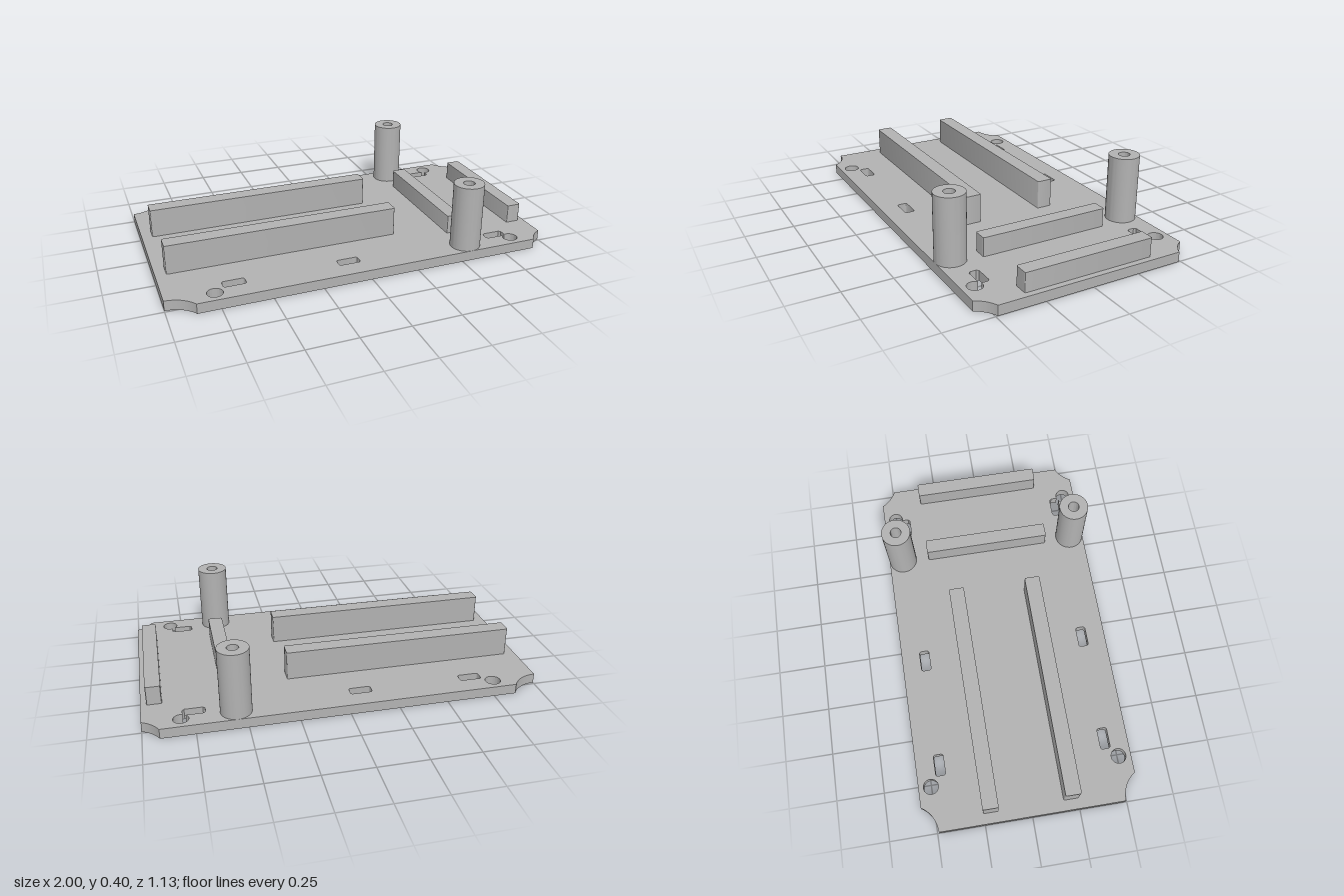
import * as THREE from 'three';
import { toCreasedNormals } from 'three/addons/utils/BufferGeometryUtils.js';

const PLATE_H = 0.052;
const HALF_Z = 0.566;

// Shape drawn in plan, extruded upwards from y0 to y1
function extrudeUp(shape, y0, y1) {
  const g = new THREE.ExtrudeGeometry(shape, { depth: y1 - y0, bevelEnabled: false, curveSegments: 32 });
  g.rotateX(-Math.PI / 2);
  g.translate(0, y0, 0);
  return toCreasedNormals(g, 0.6);
}

// Rounded rectangle between two corners
function roundedRect(path, x0, y0, x1, y1, r) {
  path.moveTo(x0 + r, y0);
  path.absarc(x1 - r, y0 + r, r, -Math.PI / 2, 0, false);
  path.absarc(x1 - r, y1 - r, r, 0, Math.PI / 2, false);
  path.absarc(x0 + r, y1 - r, r, Math.PI / 2, Math.PI, false);
  path.absarc(x0 + r, y0 + r, r, Math.PI, Math.PI * 1.5, false);
  return path;
}

function circle(x, y, r) {
  return new THREE.Path().absarc(x, y, r, 0, Math.PI * 2, false);
}

// Slot that runs into a round screw hole, as one outline
function slotWithHole(side) {
  const x0 = 0.695, x1 = 0.805, y0 = 0.42, y1 = 0.471;
  const cx = 0.815, cy = 0.5, r = 0.038;
  const start = Math.atan2(-Math.sqrt(r * r - (x1 - cx) ** 2), x1 - cx);
  const end = Math.atan2(y1 - cy, -Math.sqrt(r * r - (y1 - cy) ** 2)) + Math.PI * 2;
  const pts = [[x0 + 0.01, y0], [x1 - 0.01, y0], [x1, y0 + 0.01]];
  for (let i = 0; i <= 32; i++) {
    const a = start + (end - start) * i / 32;
    pts.push([cx + r * Math.cos(a), cy + r * Math.sin(a)]);
  }
  pts.push([x0 + 0.01, y1], [x0, y1 - 0.01], [x0, y0 + 0.01]);
  return new THREE.Path(pts.map(([x, y]) => new THREE.Vector2(x, y * side)));
}

// Base plate outline with scooped corners and mounting holes
function plateShape() {
  const s = new THREE.Shape();
  const left = { x: -1, y: 0.649, r: 0.159 };
  const right = { x: 1.062, y: 0.637, r: 0.16 };
  const leftEnd = Math.asin((left.y - HALF_Z) / left.r);
  const rightStart = Math.PI - Math.asin((right.y - HALF_Z) / right.r);
  const rightEnd = Math.PI - Math.acos((right.x - 1) / right.r);
  s.absarc(left.x, -left.y, left.r, Math.PI / 2, leftEnd, true);
  s.absarc(right.x, -right.y, right.r, rightStart, rightEnd, true);
  s.absarc(right.x, right.y, right.r, -rightEnd, -rightStart, true);
  s.absarc(left.x, left.y, left.r, -leftEnd, -Math.PI / 2, true);
  s.closePath();

  for (const side of [-1, 1]) {
    s.holes.push(circle(-0.765, 0.5 * side, 0.039));
    for (const x of [-0.66, -0.078]) {
      const y = 0.441 * side;
      s.holes.push(roundedRect(new THREE.Path(), x - 0.056, y - 0.026, x + 0.056, y + 0.026, 0.012));
    }
    s.holes.push(slotWithHole(side));
  }
  return s;
}

export function createModel() {
  const model = new THREE.Group();
  model.name = 'mountingPlate';
  const grey = new THREE.MeshStandardMaterial({ color: 0xb2b2b2 });
  grey.name = 'grey';

  const add = (name, geometry, x = 0, z = 0) => {
    const mesh = new THREE.Mesh(geometry, grey);
    mesh.name = name;
    mesh.position.set(x, 0, z);
    model.add(mesh);
  };

  add('basePlate', extrudeUp(plateShape(), 0, PLATE_H));

  // Two long ribs and two lower cross ribs
  const rib = (w, d, top) =>
    extrudeUp(roundedRect(new THREE.Shape(), -w / 2, -d / 2, w / 2, d / 2, 0.008), PLATE_H, top);
  const longRib = rib(1.204, 0.082, 0.203);
  const crossRib = rib(0.075, 0.684, 0.15);
  add('longRibFront', longRib, -0.343, 0.211);
  add('longRibBack', longRib, -0.343, -0.211);
  add('crossRibInner', crossRib, 0.564, 0);
  add('crossRibOuter', crossRib, 0.933, 0);

  // Hollow standoff posts
  const ring = new THREE.Shape().absarc(0, 0, 0.0775, 0, Math.PI * 2, false);
  ring.holes.push(circle(0, 0, 0.029));
  const post = extrudeUp(ring, PLATE_H, 0.396);
  add('postFront', post, 0.551, 0.488);
  add('postBack', post, 0.551, -0.488);

  return model;
}
